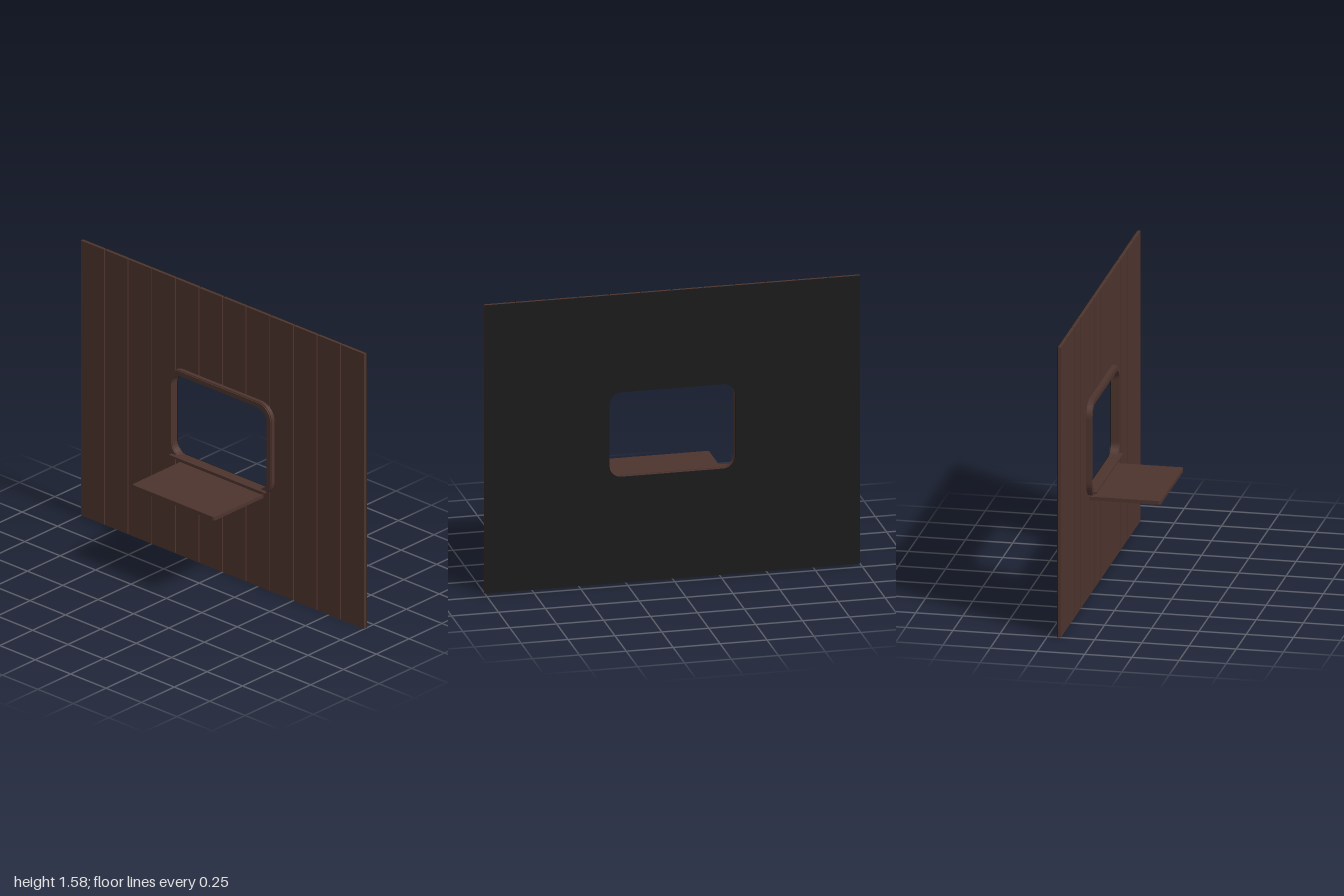
import * as THREE from 'three';

const brown = new THREE.MeshStandardMaterial({ color: 0x4e342e });
brown.name = 'dark wood';
const black = new THREE.MeshStandardMaterial({ color: 0x1a1a1a });
black.name = 'black backing';

// Rounded rectangle outline, used for shapes and holes
function roundRect(path, x0, y0, x1, y1, r) {
  path.moveTo(x0 + r, y0);
  path.lineTo(x1 - r, y0);
  path.absarc(x1 - r, y0 + r, r, -Math.PI / 2, 0);
  path.lineTo(x1, y1 - r);
  path.absarc(x1 - r, y1 - r, r, 0, Math.PI / 2);
  path.lineTo(x0 + r, y1);
  path.absarc(x0 + r, y1 - r, r, Math.PI / 2, Math.PI);
  path.lineTo(x0, y0 + r);
  path.absarc(x0 + r, y0 + r, r, Math.PI, Math.PI * 1.5);
  return path;
}

function extrude(name, shape, depth, material, options = {}) {
  const geometry = new THREE.ExtrudeGeometry(shape, { depth, bevelEnabled: false, curveSegments: 8, ...options });
  const mesh = new THREE.Mesh(geometry, material);
  mesh.name = name;
  return mesh;
}

function box(name, x0, x1, y0, y1, z0, z1, material) {
  const mesh = new THREE.Mesh(new THREE.BoxGeometry(x1 - x0, y1 - y0, z1 - z0), material);
  mesh.position.set((x0 + x1) / 2, (y0 + y1) / 2, (z0 + z1) / 2);
  mesh.name = name;
  return mesh;
}

export function createModel() {
  const model = new THREE.Group();
  model.name = 'windowWall';
  const height = 1.58, back = -0.2, front = -0.178, layer = -0.194;
  const hole = [-0.335, 0.58, 0.335, 1.045, 0.065];

  // Backing sheet with the window opening
  const sheet = new THREE.Shape();
  sheet.moveTo(-1, 0).lineTo(1, 0).lineTo(1, height).lineTo(-1, height);
  sheet.holes.push(roundRect(new THREE.Path(), ...hole));
  const backing = extrude('backing', sheet, layer - back, black);
  backing.position.z = back;
  model.add(backing);

  // Twelve vertical planks; the middle four stop at the window
  const planks = new THREE.Group();
  planks.name = 'planks';
  const count = 12, gap = 0.003;
  for (let i = 0; i < count; i++) {
    const x0 = -1 + i / 6 + (i > 0 ? gap : 0);
    const x1 = -1 + (i + 1) / 6 - (i < count - 1 ? gap : 0);
    const spans = i >= 4 && i < 8 ? [[0, 0.565], [1.06, height]] : [[0, height]];
    for (const [y0, y1] of spans) planks.add(box('plank', x0, x1, y0, y1, layer, front, brown));
  }
  model.add(planks);

  // Rounded window frame lining the opening, with a softened front edge
  const ring = roundRect(new THREE.Shape(), -0.367, 0.55, 0.367, 1.076, 0.09);
  ring.holes.push(roundRect(new THREE.Path(), ...hole));
  const frame = extrude('windowFrame', ring, 0.038, brown);
  frame.position.z = layer;
  model.add(frame);
  const lip = roundRect(new THREE.Shape(), -0.363, 0.554, 0.363, 1.072, 0.086);
  lip.holes.push(roundRect(new THREE.Path(), -0.337, 0.578, 0.337, 1.047, 0.067));
  const rim = extrude('frameRim', lip, 0.006, brown);
  rim.position.z = -0.156;
  model.add(rim);

  // Narrow sill under the opening
  model.add(box('sill', -0.333, 0.333, 0.573, 0.583, front, -0.13, brown));

  // Folding table with rounded front corners
  const top = new THREE.Shape();
  const w = 0.29, y0 = -0.2, y1 = 0.18, r = 0.015;
  top.moveTo(-w, y1);
  top.lineTo(-w, y0 + r);
  top.absarc(-w + r, y0 + r, r, Math.PI, Math.PI * 1.5);
  top.lineTo(w - r, y0);
  top.absarc(w - r, y0 + r, r, -Math.PI / 2, 0);
  top.lineTo(w, y1);
  const table = extrude('table', top, 0.02, brown);
  table.rotation.x = -Math.PI / 2;
  table.position.y = 0.522;
  model.add(table);

  return model;
}
